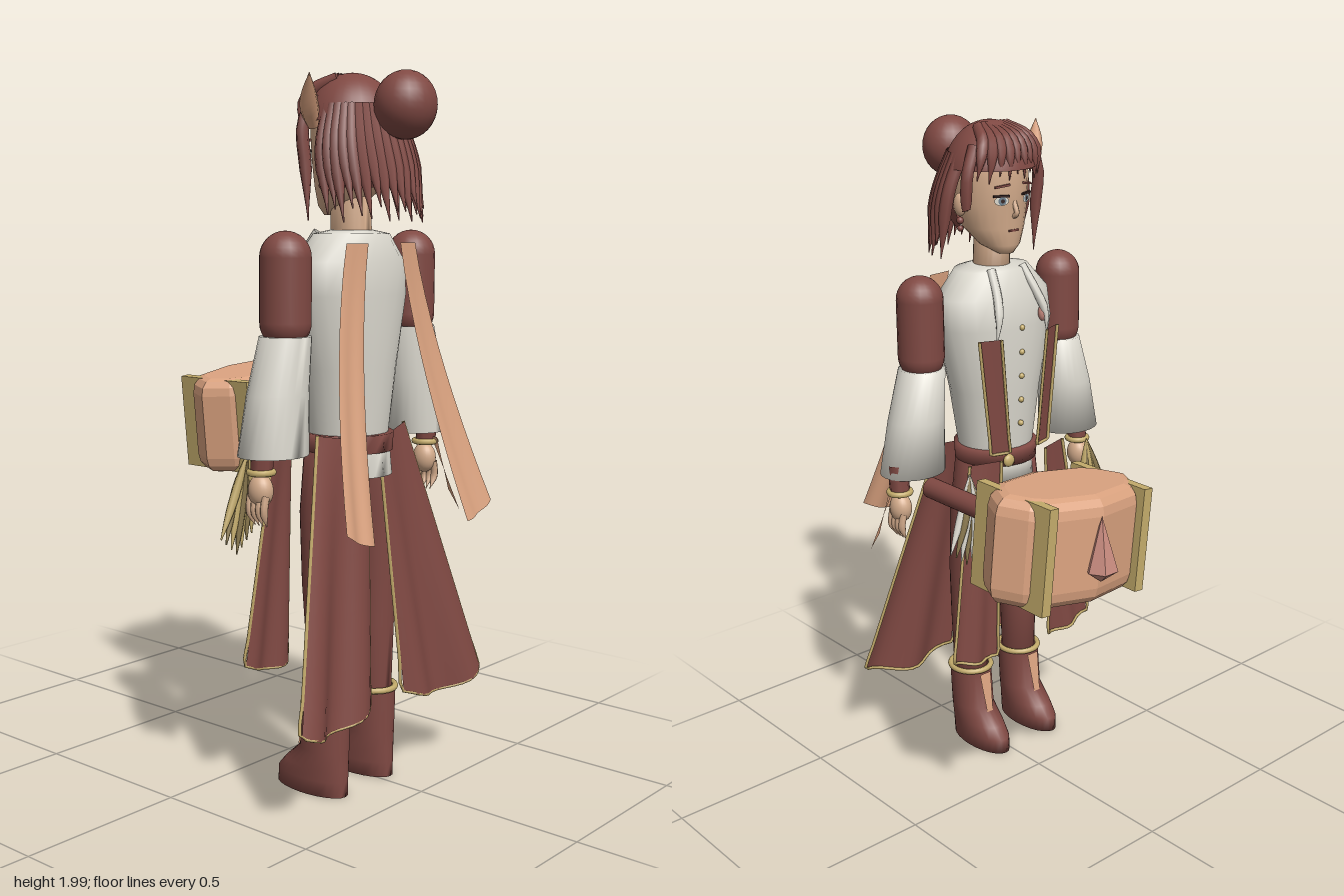
import * as THREE from 'three';

const mat = (name, color) => {
  const m = new THREE.MeshStandardMaterial({ color, side: THREE.DoubleSide });
  m.name = name;
  return m;
};
const V = (x, y, z) => new THREE.Vector3(x, y, z);

export function createModel() {
  const maroon = mat('maroon cloth', 0x804943);
  const white = mat('linen white', 0xdad7cd);
  const tan = mat('copper tan', 0xdba380);
  const skin = mat('skin', 0xd3ab8b);
  const gold = mat('old gold', 0xc4ac6c);
  const pink = mat('rose crystal', 0xc78a7e);
  const dark = mat('dark lines', 0x33211f);
  const eyeBlue = mat('grey blue', 0x6d7f8c);
  const olive = mat('olive feather', 0x8a784e);

  const root = new THREE.Group();
  root.name = 'hammerBearer';
  const body = new THREE.Group();
  body.name = 'figure';
  body.position.x = -0.07;
  root.add(body);

  const add = (name, geo, material, pos = [0, 0, 0], scale = [1, 1, 1], rot = [0, 0, 0], parent = body) => {
    const m = new THREE.Mesh(geo, material);
    m.name = name;
    m.position.set(...pos);
    m.scale.set(...scale);
    m.rotation.set(...rot);
    parent.add(m);
  };
  const ball = (name, material, pos, scale) => add(name, new THREE.SphereGeometry(1, 24, 16), material, pos, scale);

  // Solid through stacked ellipses: rows of [y, centreX, centreZ, radiusX, radiusZ]
  const loft = (name, material, rows) => {
    const n = 24, pos = [], idx = [];
    rows.forEach(([y, cx, cz, rx, rz]) => {
      for (let i = 0; i < n; i++) {
        const a = (i / n) * Math.PI * 2;
        pos.push(cx + rx * Math.sin(a), y, cz + rz * Math.cos(a));
      }
    });
    for (let r = 0; r < rows.length - 1; r++) for (let i = 0; i < n; i++) {
      const a = r * n + i, b = r * n + (i + 1) % n;
      idx.push(a, b, b + n, a, b + n, a + n);
    }
    const last = (rows.length - 1) * n;
    for (let i = 1; i < n - 1; i++) idx.push(0, i + 1, i, last, last + i, last + i + 1);
    const g = new THREE.BufferGeometry();
    g.setAttribute('position', new THREE.Float32BufferAttribute(pos, 3));
    g.setIndex(idx);
    g.computeVertexNormals();
    add(name, g, material);
  };

  // Tube along points whose radius is r(t)
  const strand = (name, material, pts, r) => {
    const curve = new THREE.CatmullRomCurve3(pts), seg = 10, rad = 7;
    const g = new THREE.TubeGeometry(curve, seg, 1, rad), p = g.attributes.position, v = V(0, 0, 0);
    for (let i = 0; i < p.count; i++) {
      const t = Math.floor(i / (rad + 1)) / seg, c = curve.getPointAt(t);
      v.fromBufferAttribute(p, i).sub(c).multiplyScalar(r(t)).add(c);
      p.setXYZ(i, v.x, v.y, v.z);
    }
    add(name, g, material);
  };
  const lock = (w) => (t) => w * Math.max(0.08, Math.min(1, 2.4 * (1 - t)));

  // Hanging cloth between four corners, with folds growing toward the hem; curve bends it in z
  const cloth = (name, material, tl, tr, bl, br, { fold = 0, waves = 2, hem = 0, curve = 1, trim = false } = {}) => {
    const at = (u, v) => {
      const top = tl.clone().lerp(tr, u), low = bl.clone().lerp(br, u), p = top.clone().lerp(low, v);
      p.z = top.z + (low.z - top.z) * v ** curve + fold * v * Math.sin(u * Math.PI * 2 * waves);
      p.y -= hem * v * Math.sin(u * Math.PI);
      return p;
    };
    const g = new THREE.PlaneGeometry(1, 1, 16, 10), p = g.attributes.position;
    for (let i = 0; i < p.count; i++) {
      const q = at(p.getX(i) + 0.5, 0.5 - p.getY(i));
      p.setXYZ(i, q.x, q.y, q.z);
    }
    g.computeVertexNormals();
    add(name, g, material);
    if (!trim) return;
    const edge = [];
    for (let i = 0; i <= 8; i++) edge.push(at(0, i / 8));
    for (let i = 1; i <= 16; i++) edge.push(at(i / 16, 1));
    for (let i = 7; i >= 0; i--) edge.push(at(1, i / 8));
    add(name + 'Trim', new THREE.TubeGeometry(new THREE.CatmullRomCurve3(edge), 70, 0.005, 5), gold, [0, 0, -0.004]);
  };

  // Neck, head and face
  loft('neck', skin, [[1.53, 0, 0.29, 0.055, 0.06], [1.68, 0, 0.285, 0.05, 0.057]]);
  loft('head', skin, [[1.615, 0, 0.225, 0.025, 0.025], [1.64, 0, 0.25, 0.06, 0.062], [1.69, 0, 0.28, 0.092, 0.095],
    [1.76, 0, 0.29, 0.108, 0.11], [1.84, 0, 0.295, 0.112, 0.122], [1.92, 0, 0.295, 0.1, 0.11]]);
  strand('nose', skin, [V(0, 1.77, 0.185), V(0, 1.735, 0.172), V(0, 1.725, 0.19)], () => 0.008);
  add('mouth', new THREE.BoxGeometry(0.036, 0.006, 0.008), maroon, [0, 1.685, 0.187]);
  for (const s of [-1, 1]) {
    const yaw = [0, Math.PI - s * 0.42, 0];
    add('eyeWhite', new THREE.CircleGeometry(0.022, 20), white, [s * 0.047, 1.775, 0.184], [1, 0.6, 1], yaw);
    add('iris', new THREE.CircleGeometry(0.012, 16), eyeBlue, [s * 0.046, 1.775, 0.182], [1, 1, 1], yaw);
    add('pupil', new THREE.CircleGeometry(0.006, 12), dark, [s * 0.046, 1.775, 0.18], [1, 1, 1], yaw);
    add('lash', new THREE.BoxGeometry(0.048, 0.006, 0.008), dark, [s * 0.048, 1.789, 0.184], [1, 1, 1], yaw);
    add('eyebrow', new THREE.BoxGeometry(0.046, 0.006, 0.008), maroon, [s * 0.047, 1.818, 0.18], [1, 1, 1], [0, yaw[1], s * 0.15]);
    ball('ear', skin, [s * 0.116, 1.76, 0.29], [0.016, 0.034, 0.022]);
    for (const [y, r] of [[1.715, 0.011], [1.692, 0.009]]) ball('earring', maroon, [s * 0.12, y, 0.285], [r, r, r]);
  }

  // Hair: cap, bun, back locks, fringe
  add('hairCap', new THREE.SphereGeometry(1, 28, 14, 0, Math.PI * 2, 0, 1.35), maroon, [0, 1.825, 0.29], [0.14, 0.168, 0.138]);
  add('hairBack', new THREE.SphereGeometry(1, 24, 14, -0.06, Math.PI + 0.12, 0.9, 1.4), maroon, [0, 1.8, 0.31], [0.13, 0.17, 0.125]);
  ball('hairBun', maroon, [0, 1.9, 0.47], [0.088, 0.09, 0.082]);
  for (let i = 0; i < 21; i++) {
    const a = (i / 20 - 0.5) * Math.PI * 1.02, sx = Math.sin(a), c = Math.cos(a);
    const y = 1.615 + 0.02 * Math.sin(i * 2.4);
    strand('backLock', maroon, [V(sx * 0.104, 1.9, 0.3 + c * 0.1), V(sx * 0.145, 1.79, 0.31 + c * 0.135),
      V(sx * 0.155, y, 0.34 + c * 0.155)], lock(0.02));
  }
  for (let i = 0; i < 9; i++) {
    const u = i / 4 - 1, bend = u * u;
    strand('fringeLock', maroon, [V(u * 0.05, 1.975, 0.28), V(u * 0.085, 1.945, 0.19 + bend * 0.03),
      V(u * 0.105, 1.9, 0.168 + bend * 0.035), V(u * 0.115, 1.835 - (i % 2) * 0.015 + (1 - bend) * 0.015, 0.167 + bend * 0.045)], lock(0.018));
  }
  for (const s of [-1, 1]) strand('sideLock', maroon, [V(s * 0.1, 1.93, 0.24), V(s * 0.135, 1.85, 0.23),
    V(s * 0.135, 1.74, 0.24), V(s * 0.135, s < 0 ? 1.6 : 1.8, 0.25)], lock(0.018));
  strand('hairLeaf', tan, [V(-0.115, 1.85, 0.25), V(-0.155, 1.9, 0.27), V(-0.19, 1.98, 0.3)],
    (t) => 0.026 * Math.sin(Math.PI * Math.min(0.99, 0.2 + t * 0.8)));

  // Shirt, shirt tail, belt, buttons
  loft('shirt', white, [[0.96, 0, 0.28, 0.115, 0.108], [1.0, 0, 0.28, 0.116, 0.11], [1.2, 0, 0.28, 0.15, 0.124], [1.4, 0, 0.28, 0.2, 0.13],
    [1.49, 0, 0.285, 0.195, 0.118], [1.565, 0, 0.29, 0.125, 0.09], [1.575, 0, 0.29, 0.06, 0.06]]);
  loft('shirtTail', white, [[0.903, 0, 0.285, 0.122, 0.122], [0.98, 0, 0.283, 0.112, 0.119]]);
  loft('belt', maroon, [[0.97, 0, 0.28, 0.128, 0.127], [1.02, 0, 0.28, 0.13, 0.129]]);
  ball('beltClasp', gold, [0.05, 0.99, 0.158], [0.02, 0.02, 0.012]);
  for (let i = 0; i < 5; i++) ball('button', gold, [0, 1.1 + i * 0.075, 0.159 - i * 0.002], [0.009, 0.009, 0.009]);
  ball('chestGem', pink, [-0.09, 1.43, 0.158], [0.016, 0.026, 0.014]);

  for (const s of [-1, 1]) {
    // Arms
    add('upperArm', new THREE.CapsuleGeometry(0.069, 0.17, 8, 20), maroon, [s * 0.272, 1.42, 0.29]);
    loft('sleeve', white, [[0.99, s * 0.318, 0.288, 0.103, 0.088], [1.15, s * 0.3, 0.288, 0.087, 0.08], [1.3, s * 0.272, 0.29, 0.07, 0.07]]);
    const hx = s > 0 ? 0.385 : -0.342;
    strand('cuff', maroon, [V(hx, 1.03, 0.272), V(hx, 0.99, 0.27), V(hx, 0.945, 0.267)], () => 0.031);
    add('bracelet', new THREE.TorusGeometry(0.032, 0.009, 8, 20), gold, [hx, 0.945, 0.267], [1, 1, 1], [Math.PI / 2, 0, 0]);
    ball('hand', skin, [hx, 0.895, 0.265], [0.032, 0.045, 0.036]);
    for (let i = 0; i < 4; i++) strand('finger', skin, [V(hx + s * 0.01, 0.885, 0.238 + i * 0.018),
      V(hx + s * 0.016, 0.84, 0.24 + i * 0.017), V(hx, 0.8, 0.245 + i * 0.014)], lock(0.011));

    // Legs and boots
    const lx = s * 0.103;
    loft('leg', maroon, [[0.24, lx, 0.295, 0.052, 0.056], [0.45, lx, 0.295, 0.058, 0.062], [0.6, lx, 0.29, 0.06, 0.072],
      [0.8, s * 0.09, 0.283, 0.066, 0.084], [0.97, s * 0.066, 0.28, 0.064, 0.088]]);
    loft('boot', maroon, [[0, lx, 0.243, 0.056, 0.122], [0.045, lx, 0.245, 0.06, 0.12], [0.08, lx, 0.26, 0.062, 0.104],
      [0.13, lx, 0.287, 0.062, 0.075], [0.25, lx, 0.295, 0.066, 0.068], [0.265, lx, 0.295, 0.064, 0.067]]);
    add('bootCuff', new THREE.TorusGeometry(0.064, 0.009, 8, 28), gold, [lx, 0.262, 0.295], [1, 1.05, 1], [Math.PI / 2, 0, 0]);
    cloth('bootTongue', tan, V(lx - 0.022, 0.25, 0.222), V(lx + 0.022, 0.25, 0.222), V(lx - 0.012, 0.12, 0.2), V(lx + 0.012, 0.12, 0.2));

    // Skirt panels, back and front
    cloth('backSkirtPanel', maroon, V(s * 0.19, 1.03, 0.335), V(s * 0.025, 1.0, 0.375), V(s * 0.405, 0.28, 0.465), V(s * 0.075, 0.28, 0.43),
      { fold: 0.022, waves: 1.5, hem: 0.04, trim: true });
    cloth('frontSkirtPanel', maroon, V(s * 0.19, 1.0, 0.18), V(s * 0.09, 1.0, 0.15), V(s * 0.285, 0.38, 0.155), V(s * 0.11, 0.35, 0.155),
      { fold: 0.01, waves: 1.5, hem: 0.015, trim: true });

    // Chest bands, collar folds, back scarves
    cloth('chestBand', maroon, V(s * 0.155, 1.38, 0.168), V(s * 0.09, 1.38, 0.143), V(s * 0.115, 1.02, 0.168), V(s * 0.055, 1.02, 0.15), { trim: true });
    strand('collarFold', white, [V(s * 0.06, 1.57, 0.22), V(s * 0.075, 1.5, 0.175), V(s * 0.09, 1.44, 0.15), V(s * 0.1, 1.36, 0.15)], lock(0.014));
    cloth('backScarf', tan, V(s * 0.15, 1.54, 0.395), V(s * 0.07, 1.54, 0.405), V(s * 0.325, 0.81, 0.545), V(s * 0.21, 0.765, 0.545),
      { fold: 0.004, waves: 1.5, hem: 0.008, curve: 1.6 });

    // Feather bunch at the hip
    const fx = s > 0 ? 0.2 : 0.285;
    for (let i = 0; i < 7; i++) {
      const w = (i - 3) / 3, m = i % 2 ? olive : s > 0 ? white : gold;
      strand('feather', m, [V(s * fx, 0.98, 0.165), V(s * (fx + 0.01 + w * 0.03), 0.87, 0.156 - 0.005 * (i % 3)),
        V(s * (fx + 0.03 + w * 0.06), 0.7 + 0.05 * Math.abs(w), 0.15)], (t) => 0.002 + 0.011 * Math.sin(Math.PI * t));
    }
  }
  cloth('wristRibbon', tan, V(0.385, 0.96, 0.29), V(0.385, 0.96, 0.31), V(0.43, 0.74, 0.365), V(0.42, 0.8, 0.33));

  // Hammer handle
  add('hammerHandle', new THREE.CylinderGeometry(0.031, 0.031, 0.44, 20), maroon, [0.25, 0.96, -0.02], [1, 1, 1], [Math.PI / 2, 0, 0], root);
  const hammer = new THREE.Group();
  hammer.name = 'hammerHead';
  hammer.position.set(0.245, 0.98, -0.358);
  hammer.rotation.z = 0.1;
  root.add(hammer);
  // Hammer block: a pointed barrel outline seen from above, with rounded top and bottom
  const plan = new THREE.Shape([[-0.242, 0], [-0.2, 0.08], [-0.155, 0.12], [0, 0.152], [0.155, 0.12], [0.2, 0.08],
    [0.242, 0], [0.2, -0.08], [0.155, -0.12], [0, -0.152], [-0.155, -0.12], [-0.2, -0.08]].map((p) => new THREE.Vector2(...p)));
  const block = new THREE.ExtrudeGeometry(plan, { depth: 0.2, bevelThickness: 0.05, bevelSize: 0.04, bevelOffset: -0.04, bevelSegments: 3 });
  add('hammerBlock', block.translate(0, 0, -0.1), tan, [0, 0, 0], [1, 1, 1], [Math.PI / 2, 0, 0], hammer);
  // Notched corner bars
  const bar = new THREE.Shape([[0.143, -0.146], [0.143, 0.146], [0.035, 0.146], [0.088, 0.06], [0.088, -0.06], [0.035, -0.146]]
    .map((p) => new THREE.Vector2(...p)));
  const barGeo = new THREE.ExtrudeGeometry(bar, { depth: 0.03, bevelEnabled: false }).translate(0, 0, -0.015);
  for (const x of [-0.172, 0.172]) for (const turn of [1, -1])
    add('hammerBar', barGeo, gold, [x, 0, 0], [1, 1, 1], [0, turn * Math.PI / 2, 0], hammer);
  // Upright crystal on the striking side
  const gem = new THREE.LatheGeometry([[0, 0.9], [0.046, 0.935], [0, 1.085]].map((p) => new THREE.Vector2(...p)), 6, Math.PI / 6).toNonIndexed();
  gem.computeVertexNormals();
  add('hammerCrystal', gem, pink, [0.247, 0, -0.515], [1, 1, 1], [0, 0, 0], root);
  return root;
}
